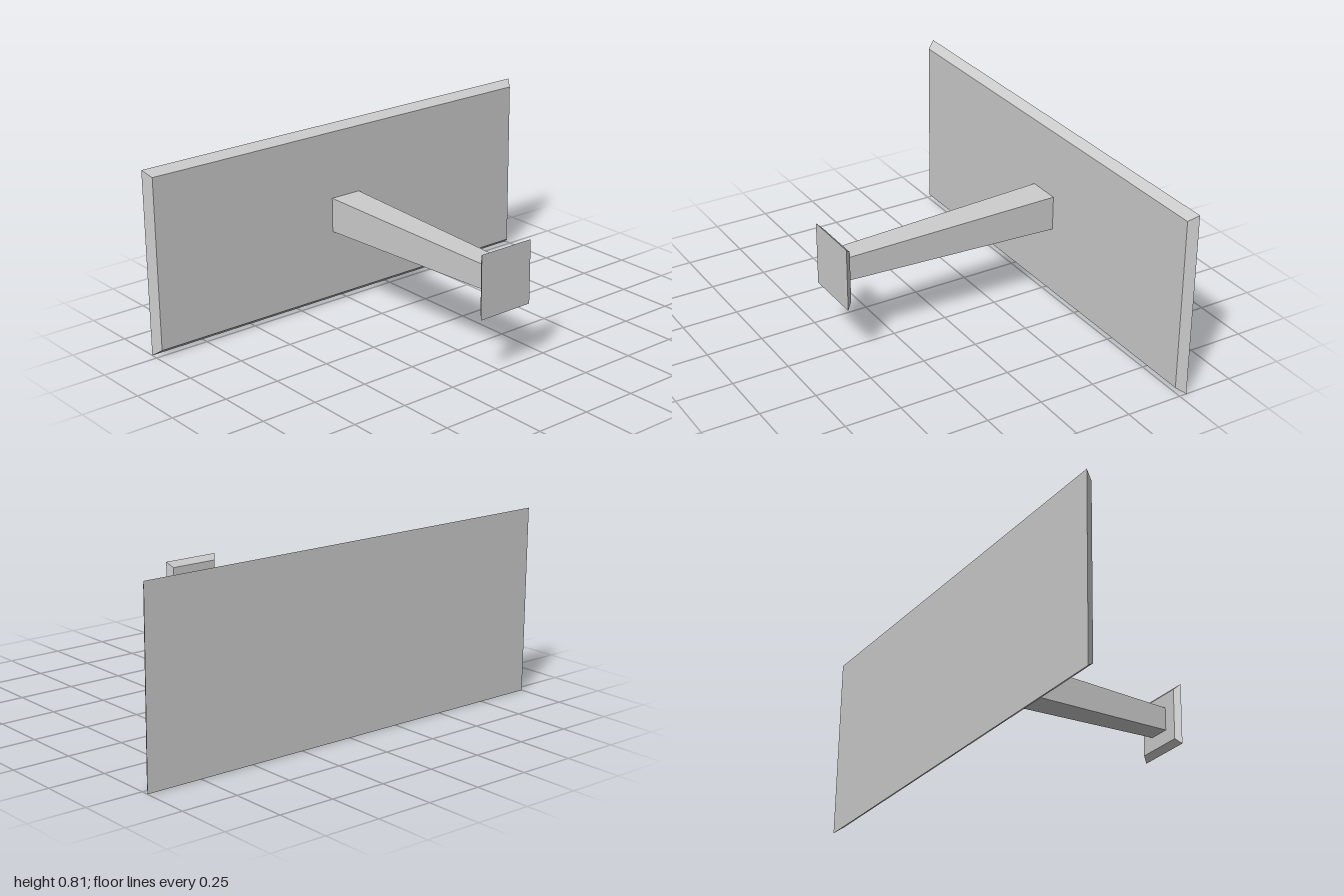
import * as THREE from 'three';

const grey = new THREE.MeshStandardMaterial({ color: 0xcccccc });
grey.name = 'light grey';

// Rectangular frustum along z; each end is { z, w: half width, y0, y1 }
function taperedBlock(name, back, front) {
  const geometry = new THREE.BoxGeometry(1, 1, 1);
  const p = geometry.attributes.position;
  for (let i = 0; i < p.count; i++) {
    const end = p.getZ(i) > 0 ? front : back;
    p.setXYZ(i, Math.sign(p.getX(i)) * end.w, p.getY(i) > 0 ? end.y1 : end.y0, end.z);
  }
  const flat = geometry.toNonIndexed();
  flat.computeVertexNormals();
  const mesh = new THREE.Mesh(flat, grey);
  mesh.name = name;
  return mesh;
}

export function createModel() {
  const model = new THREE.Group();
  model.name = 'panelOnArm';
  model.add(
    // Wide panel, bevelled toward the front
    taperedBlock('panel',
      { z: -0.533, w: 1, y0: 0, y1: 0.813 },
      { z: -0.495, w: 0.975, y0: 0.028, y1: 0.786 }),
    // Arm narrowing toward the front plate
    taperedBlock('arm',
      { z: -0.495, w: 0.074, y0: 0.33, y1: 0.485 },
      { z: 0.508, w: 0.05, y0: 0.355, y1: 0.46 }),
    // Small plate, bevelled toward the arm
    taperedBlock('mountingPlate',
      { z: 0.508, w: 0.112, y0: 0.292, y1: 0.524 },
      { z: 0.533, w: 0.132, y0: 0.268, y1: 0.548 })
  );
  return model;
}
